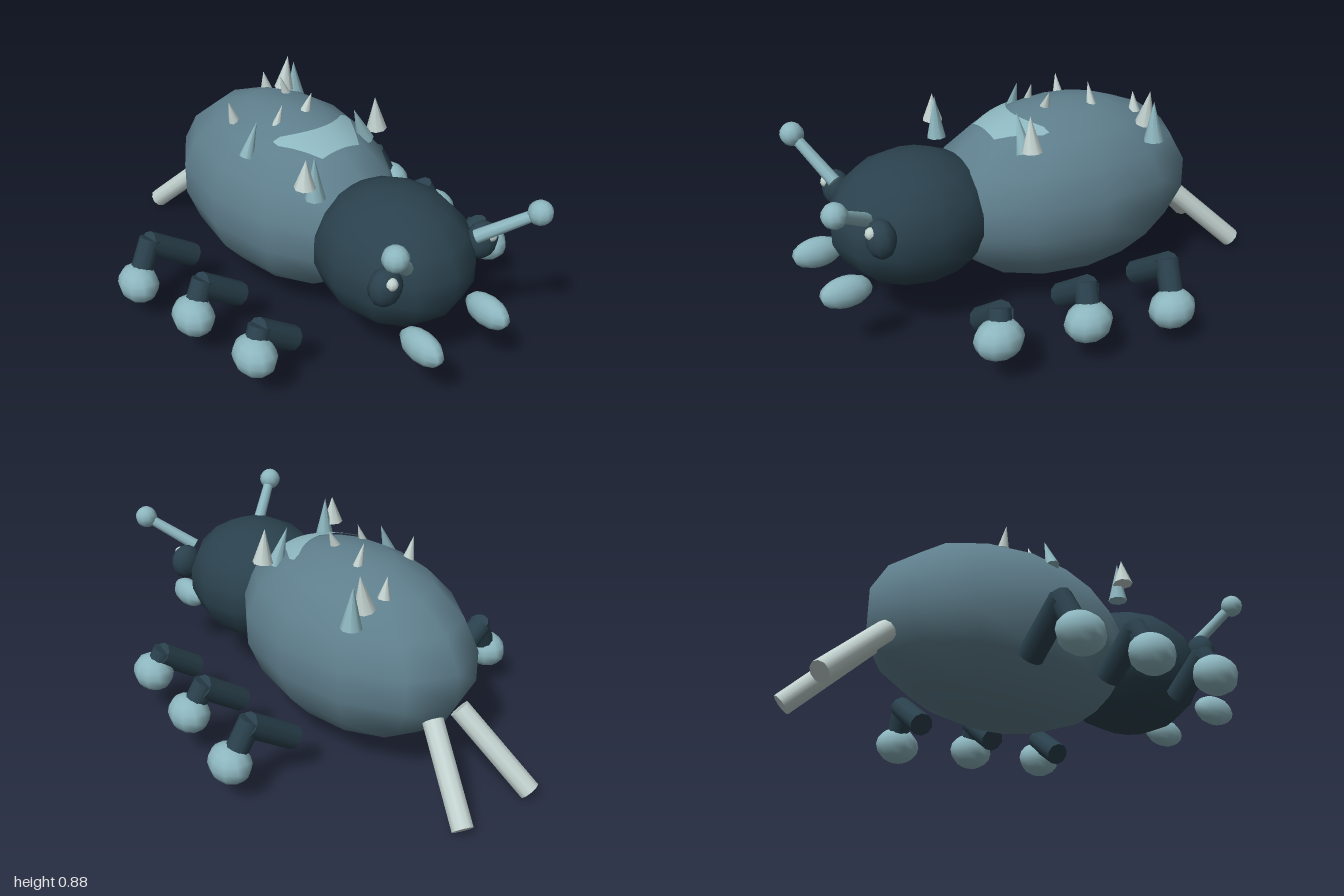
import * as THREE from 'three';

const mat = (name, color) => Object.assign(new THREE.MeshStandardMaterial({ color }), { name });

export function createModel() {
  const slate = mat('slate blue shell', 0x5f7f8d);
  const dark = mat('dark navy', 0x2a414d);
  const teal = mat('pale teal', 0x8db6bf);
  const bone = mat('bone white', 0xc3d3d0);
  const model = new THREE.Group();
  model.name = 'beetle';

  const add = (name, geometry, material) => {
    const mesh = new THREE.Mesh(geometry, material);
    mesh.name = name;
    model.add(mesh);
    return mesh;
  };
  const ellipsoid = (name, material, pos, radii, w = 12, h = 9) => {
    const mesh = add(name, new THREE.SphereGeometry(1, w, h), material);
    mesh.position.set(...pos);
    mesh.scale.set(...radii);
    return mesh;
  };
  // Cylinder or cone running from point a to point b
  const rod = (name, material, a, b, rA, rB = rA, sides = 10) => {
    const start = new THREE.Vector3(...a), end = new THREE.Vector3(...b);
    const dir = end.clone().sub(start);
    const mesh = add(name, new THREE.CylinderGeometry(rB, rA, dir.length(), sides), material);
    mesh.position.copy(start).add(end).multiplyScalar(0.5);
    mesh.quaternion.setFromUnitVectors(new THREE.Vector3(0, 1, 0), dir.normalize());
    return mesh;
  };

  // Body
  ellipsoid('abdomen', slate, [0, 0.44, -0.14], [0.383, 0.38, 0.598]);
  ellipsoid('head', dark, [0, 0.45, 0.53], [0.297, 0.27, 0.338]);

  // Crescent marking that hugs the front of the back
  const patch = new THREE.PlaneGeometry(1, 1, 12, 4);
  const p = patch.attributes.position;
  for (let i = 0; i < p.count; i++) {
    const x = p.getX(i) * 0.37, t = p.getY(i) + 0.5, s = Math.abs(x) / 0.185;
    const back = 0.085 - 0.07 * Math.min(1, s * s * 1.3);
    const front = s < 0.5 ? 0.21 : 0.21 - (s - 0.5) * 0.33;
    const z = THREE.MathUtils.lerp(front, back, t);
    const y = 0.44 + 0.383 * Math.sqrt(1 - (x / 0.387) ** 2 - ((z + 0.14) / 0.602) ** 2);
    p.setXYZ(i, x, y, z);
  }
  patch.computeVertexNormals();
  teal.side = THREE.DoubleSide;
  add('backMarking', patch, teal);

  // Antennae, each held at a slightly different angle
  for (const [name, a, b] of [
    ['rightAntenna', [-0.175, 0.58, 0.78], [-0.33, 0.745, 0.885]],
    ['leftAntenna', [0.175, 0.57, 0.78], [0.325, 0.695, 0.94]],
  ]) {
    rod(name, teal, a, b, 0.027, 0.022, 8);
    ellipsoid(name + 'Tip', teal, b, [0.048, 0.048, 0.048], 10, 8);
  }

  // Paired parts: eyes, mandibles, tail prongs, legs
  const legs = [
    { z: 0.44, knee: [0.58, 0.29], foot: [0.61, 0.205] },
    { z: 0.087, knee: [0.60, 0.303], foot: [0.653, 0.19] },
    { z: -0.267, knee: [0.625, 0.317], foot: [0.697, 0.163] },
  ];
  for (const [side, s] of [['left', 1], ['right', -1]]) {
    ellipsoid(side + 'Eye', dark, [s * 0.243, 0.515, 0.752], [0.069, 0.077, 0.057], 10, 8);
    ellipsoid(side + 'EyeGlint', bone, [s * 0.25, 0.55, 0.79], [0.025, 0.025, 0.025], 8, 6);
    ellipsoid(side + 'Mandible', teal, [s * 0.17, 0.29, 0.878], [0.052, 0.064, 0.104], 10, 8);
    rod(side + 'TailProng', bone, [s * 0.07, 0.31, -0.68], [s * 0.182, 0.033, -0.965], 0.043);
    for (const { z, knee, foot } of legs) {
      rod(side + 'UpperLeg', dark, [s * 0.418, 0.172, z], [s * knee[0], knee[1], z], 0.05);
      rod(side + 'LowerLeg', dark, [s * (knee[0] - 0.015), knee[1] + 0.015, z], [s * foot[0], foot[1], z + 0.02], 0.046);
      ellipsoid(side + 'Foot', teal, [s * foot[0], foot[1], z + 0.025], [0.08, 0.08, 0.098], 10, 8);
    }
  }

  // Back spines: [z, base x, base y, tip x, tip y, radius, material]
  const spines = [
    [0.315, -0.26, 0.72, -0.255, 0.835, 0.042, bone],
    [0.32, -0.215, 0.66, -0.22, 0.835, 0.04, teal],
    [0.13, 0.255, 0.73, 0.24, 0.872, 0.042, bone],
    [0.13, 0.195, 0.70, 0.13, 0.85, 0.036, teal],
    [-0.055, -0.265, 0.69, -0.21, 0.83, 0.03, teal],
    [-0.055, -0.12, 0.77, -0.085, 0.865, 0.022, bone],
    [-0.055, 0.025, 0.79, 0.062, 0.875, 0.026, bone],
    [-0.245, -0.19, 0.75, -0.215, 0.842, 0.024, bone],
    [-0.245, -0.11, 0.76, -0.11, 0.80, 0.012, bone],
    [-0.245, 0.08, 0.78, 0.045, 0.885, 0.024, bone],
    [-0.435, 0.11, 0.74, 0.095, 0.825, 0.026, bone],
    [-0.43, 0.20, 0.72, 0.225, 0.865, 0.042, bone],
    [-0.43, 0.265, 0.665, 0.255, 0.83, 0.042, teal],
  ];
  for (const [z, bx, by, tx, ty, r, m] of spines) rod('backSpine', m, [bx, by, z], [tx, ty, z], r, 0, 8);

  return model;
}
